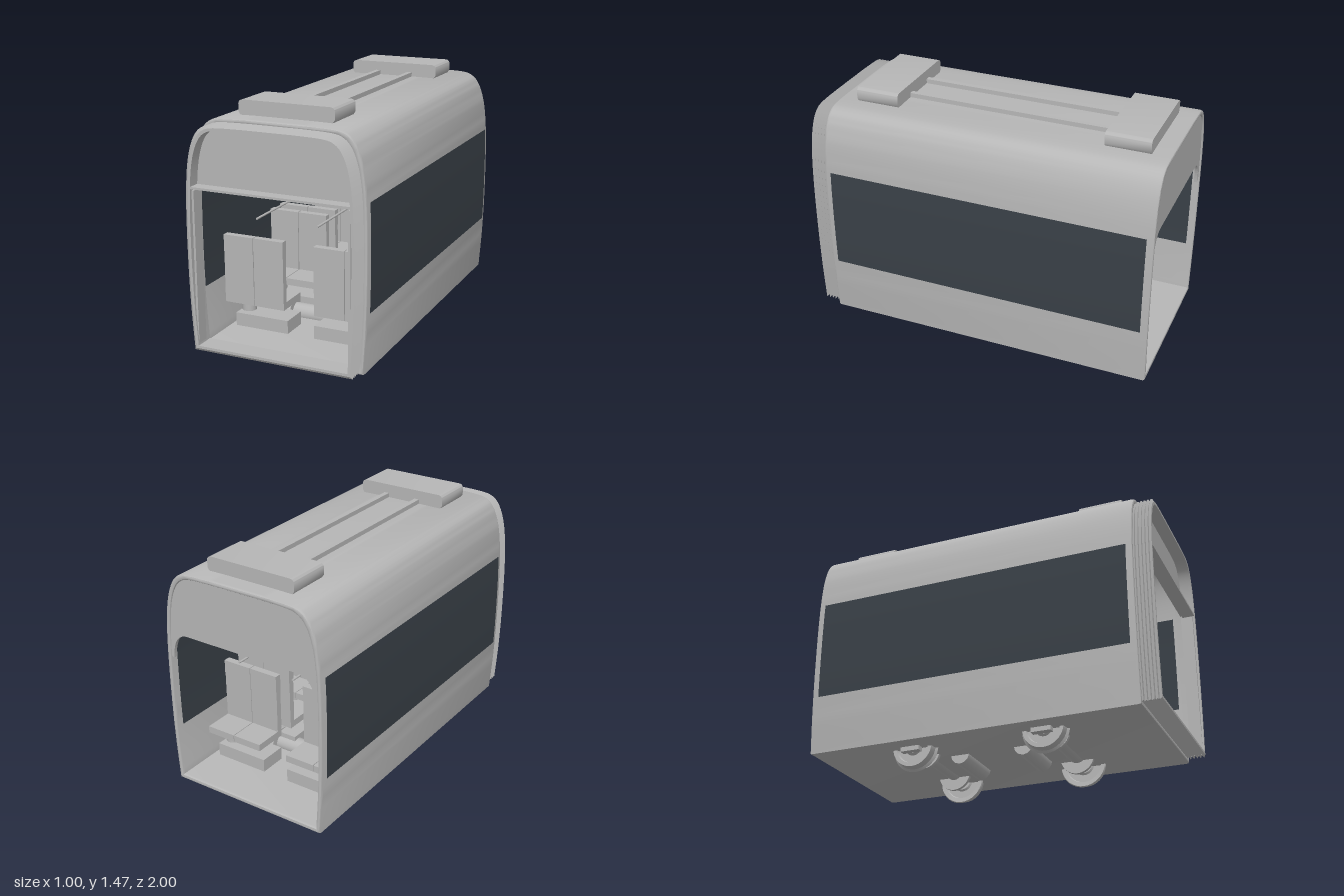
import * as THREE from 'three';
import { toCreasedNormals } from 'three/addons/utils/BufferGeometryUtils.js';

const gray = new THREE.MeshStandardMaterial({ color: 0xb6b6b6, side: THREE.DoubleSide });
gray.name = 'shell gray';
const dark = new THREE.MeshStandardMaterial({ color: 0x394047, side: THREE.DoubleSide });
dark.name = 'window dark';

// Half section of the carriage, bottom to roof centre
const half = [[0.475, 0.125], [0.49, 0.35], [0.498, 0.6], [0.498, 0.9], [0.488, 1.1], [0.468, 1.23],
  [0.435, 1.32], [0.39, 1.37], [0.32, 1.39], [0.15, 1.395]].map(p => new THREE.Vector2(...p));
const rightSide = new THREE.SplineCurve(half).getPoints(36);
const section = [...rightSide, ...rightSide.slice().reverse().map(p => new THREE.Vector2(-p.x, p.y))];
const inset = d => section.map(p => new THREE.Vector2(
  p.x * (1 - d / 0.5), 0.76 + (p.y - 0.76) * (1 - d / 0.635)));

// Half width of the section at a height
function widthAt(y) {
  const i = Math.max(1, rightSide.findIndex(p => p.y >= y));
  const a = rightSide[i - 1], b = rightSide[i];
  return a.x + (b.x - a.x) * (y - a.y) / (b.y - a.y);
}

export function createModel() {
  const model = new THREE.Group();
  model.name = 'railCarriage';

  function add(name, geometry, material = gray, x = 0, y = 0, z = 0, parent = model) {
    const mesh = new THREE.Mesh(geometry, material);
    mesh.name = name;
    mesh.position.set(x, y, z);
    parent.add(mesh);
    return mesh;
  }
  const box = (name, w, h, d, x, y, z, parent, material) =>
    add(name, new THREE.BoxGeometry(w, h, d), material, x, y, z, parent);
  const rod = (name, r, length, x, y, z, parent, sides = 24) =>
    add(name, new THREE.CylinderGeometry(r, r, length, sides).rotateZ(Math.PI / 2), gray, x, y, z, parent);

  // Hollow body shell with softened ends
  const shell = new THREE.Shape(section);
  shell.holes.push(new THREE.Path(inset(0.027)));
  const shellGeo = new THREE.ExtrudeGeometry(shell, {
    depth: 1.87, bevelThickness: 0.015, bevelSize: 0.01, bevelOffset: -0.01, bevelSegments: 3
  });
  add('bodyShell', toCreasedNormals(shellGeo, 0.6), gray, 0, 0, -0.985);

  // Folded gangway bellows, outer folds then a smooth lining
  const rings = [];
  for (let i = 0; i <= 12; i++) rings.push([0.885 + i * 0.115 / 12, i % 2 ? 0.016 : 0.03]);
  rings.push([1, 0.044], [0.885, 0.044]);
  const positions = [], indices = [];
  const n = section.length;
  rings.forEach(([z, d]) => inset(d).forEach(p => positions.push(p.x, p.y, z)));
  for (let r = 0; r < rings.length - 1; r++) {
    for (let i = 0; i < n; i++) {
      const a = r * n + i, b = r * n + (i + 1) % n;
      indices.push(a, b, b + n, a, b + n, a + n);
    }
  }
  const bellows = new THREE.BufferGeometry();
  bellows.setAttribute('position', new THREE.Float32BufferAttribute(positions, 3));
  bellows.setIndex(indices);
  add('bellows', toCreasedNormals(bellows, 0.5));

  // Rear header with a rounded opening, front header with a straight one
  const rear = new THREE.Shape(inset(0.015).filter(p => p.y > 0.86));
  rear.lineTo(-0.458, 0.88);
  rear.bezierCurveTo(-0.45, 0.98, -0.42, 1.03, -0.35, 1.03);
  rear.lineTo(0.35, 1.03);
  rear.bezierCurveTo(0.42, 1.03, 0.45, 0.98, 0.458, 0.88);
  add('rearHeader', new THREE.ExtrudeGeometry(rear, { depth: 0.02, bevelEnabled: false }), gray, 0, 0, -0.992);
  const front = new THREE.Shape(inset(0.04).filter(p => p.y > 1.03));
  add('frontHeader', new THREE.ExtrudeGeometry(front, { depth: 0.015, bevelEnabled: false }), gray, 0, 0, 0.915);
  box('doorLedge', 0.92, 0.012, 0.07, 0, 1.035, 0.963);
  for (const s of [-1, 1]) box('doorPost', 0.012, 0.87, 0.07, s * 0.44, 0.585, 0.955);

  // Long side windows, following the wall inside and outside
  for (const s of [-1, 1]) {
    for (const [name, offset] of [['outerWindow', 0.003], ['innerWindow', -0.034]]) {
      const g = new THREE.PlaneGeometry(1.825, 0.58, 1, 10).rotateY(s * Math.PI / 2).translate(0, 0.745, -0.0475);
      const p = g.attributes.position;
      for (let i = 0; i < p.count; i++) p.setX(i, s * (widthAt(p.getY(i)) + offset));
      g.computeVertexNormals();
      add(name, g, dark);
    }
  }

  // Roof units joined by two ducts
  const unit = new THREE.Shape();
  unit.moveTo(-0.255, 1.385).lineTo(0.255, 1.385).lineTo(0.272, 1.41).lineTo(0.272, 1.452);
  unit.quadraticCurveTo(0.268, 1.472, 0.245, 1.473).lineTo(-0.245, 1.473);
  unit.quadraticCurveTo(-0.268, 1.472, -0.272, 1.452).lineTo(-0.272, 1.41);
  const unitGeo = new THREE.ExtrudeGeometry(unit, { depth: 0.25, bevelEnabled: false });
  for (const z of [0.54, -0.895]) add('roofUnit', toCreasedNormals(unitGeo, 0.6), gray, 0, 0, z);
  for (const s of [-1, 1]) box('roofDuct', 0.03, 0.035, 1.2, s * 0.103, 1.403, -0.055);

  // Seats in facing bays: [z of backrest, facing direction]
  for (const [z, dir] of [[0.66, -1], [0.12, 1], [0, -1], [-0.46, 1], [-0.58, -1]]) {
    const row = new THREE.Group();
    row.name = 'seatRow';
    row.position.z = z;
    model.add(row);
    for (const s of [-1, 1]) {
      for (const x of [0.18, 0.362]) {
        box('backrest', 0.178, 0.255, 0.035, s * x, 0.4725, 0, row);
        box('headrest', 0.178, 0.095, 0.04, s * x, 0.6475, 0, row);
        box('seatCushion', 0.178, 0.04, 0.2, s * x, 0.325, dir * 0.085, row);
      }
      box('seatPlinth', 0.32, 0.075, 0.16, s * 0.24, 0.2025, dir * 0.085, row);
      add('seatLeg', new THREE.CylinderGeometry(0.04, 0.04, 0.07, 20), gray, s * 0.36, 0.272, dir * 0.085, row);
    }
  }

  // Grab rails and the hanging display
  for (const s of [-1, 1]) {
    add('grabRail', new THREE.CylinderGeometry(0.006, 0.006, 1.6, 10).rotateX(Math.PI / 2), gray, s * 0.175, 0.85, 0);
  }
  box('displayCase', 0.26, 0.094, 0.03, 0, 0.953, 0);
  for (const s of [-1, 1]) box('displayScreen', 0.23, 0.076, 0.004, 0, 0.953, s * 0.016, model, dark);
  add('displayStem', new THREE.CylinderGeometry(0.007, 0.007, 0.38, 10), gray, 0, 1.185, 0);

  // Wheelsets: axle, flanged wheels, brake discs and axle boxes
  const wheelProfile = [[0.001, -0.02], [0.05, -0.02], [0.06, -0.012], [0.1, -0.012], [0.105, -0.025], [0.13, -0.028],
    [0.134, -0.02], [0.122, -0.01], [0.116, 0.03], [0.095, 0.03], [0.09, 0.012], [0.05, 0.012], [0.04, 0.025],
    [0.001, 0.025]].map(p => new THREE.Vector2(...p));
  const wheelGeo = toCreasedNormals(new THREE.LatheGeometry(wheelProfile, 36), 0.6);
  for (const z of [0.33, -0.43]) {
    const wheelset = new THREE.Group();
    wheelset.name = 'wheelset';
    wheelset.position.z = z;
    model.add(wheelset);
    rod('axle', 0.053, 0.6, 0, 0.165, 0, wheelset);
    for (const s of [-1, 1]) {
      add('wheel', wheelGeo, gray, s * 0.32, 0.138, 0, wheelset).rotation.z = -s * Math.PI / 2;
      rod('brakeDisc', 0.098, 0.02, s * 0.2, 0.15, 0, wheelset, 32);
      box('axleBox', 0.04, 0.1, 0.11, s * 0.363, 0.15, 0, wheelset);
    }
  }

  // Underfloor tanks
  for (const z of [0.14, -0.237]) rod('underfloorTank', 0.055, 0.3, 0, 0.13, z, model, 12);

  return model;
}
